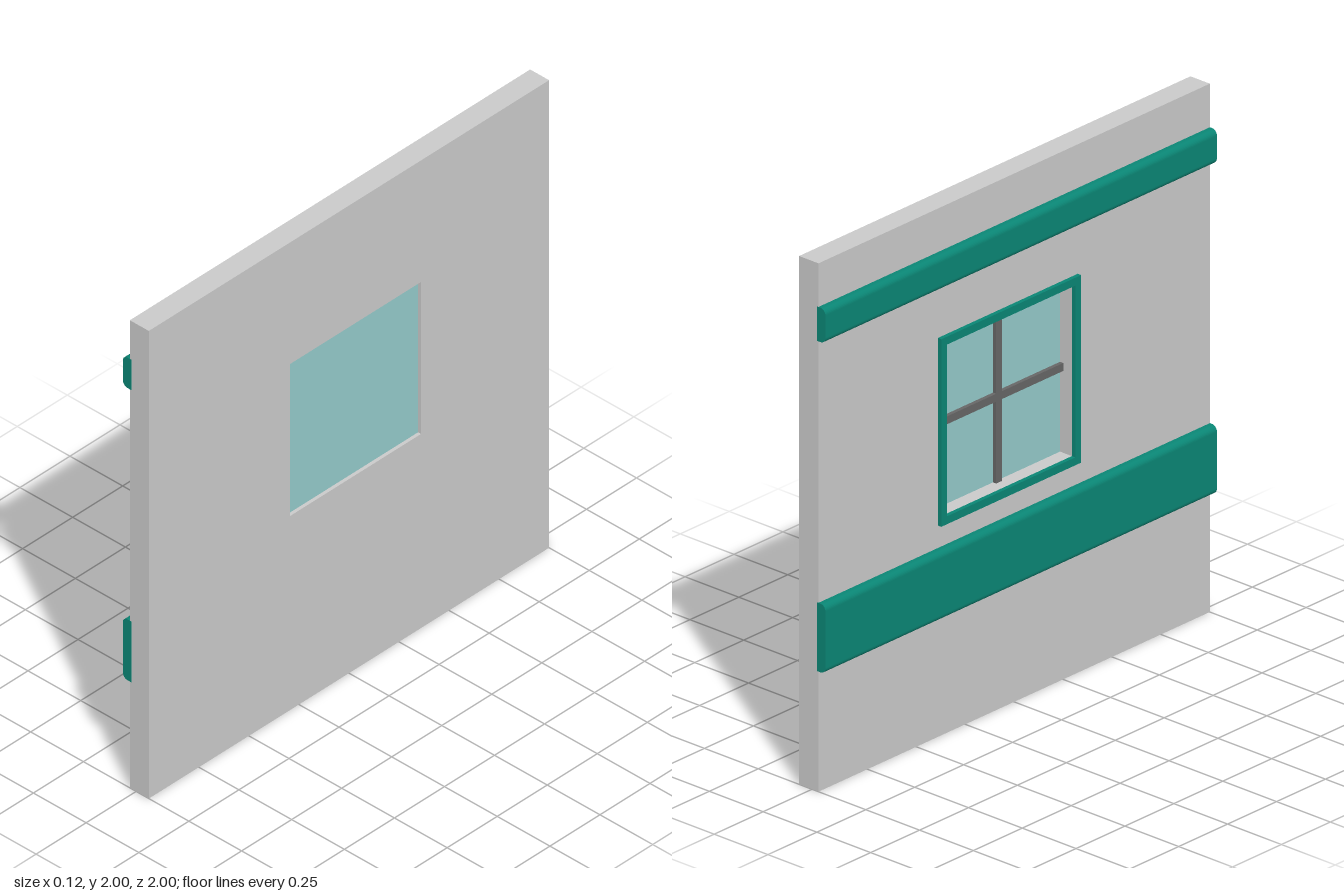
import * as THREE from 'three';

const mat = (name, color) => new THREE.MeshStandardMaterial({ name, color });

// Window opening in the wall
const Z0 = -0.36, Z1 = 0.295, Y0 = 0.83, Y1 = 1.48;
const ZC = (Z0 + Z1) / 2, YC = (Y0 + Y1) / 2;

function rect(path, z0, z1, y0, y1) {
  // shape x runs along -z, shape y is up
  path.moveTo(-z1, y0);
  path.lineTo(-z0, y0);
  path.lineTo(-z0, y1);
  path.lineTo(-z1, y1);
  path.closePath();
  return path;
}

// Plate with the window opening, spanning x0..x1
function openPlate(z0, z1, y0, y1, x0, x1) {
  const shape = rect(new THREE.Shape(), z0, z1, y0, y1);
  shape.holes.push(rect(new THREE.Path(), Z0, Z1, Y0, Y1));
  const geo = new THREE.ExtrudeGeometry(shape, { depth: x1 - x0, bevelEnabled: false });
  return geo.rotateY(Math.PI / 2).translate(x0, 0, 0);
}

// Long trim board with rounded outer edges, running along z
function trimBoard(y0, y1) {
  const xo = -0.0625, xi = -0.023, r = 0.022, half = 1.0004;
  const s = new THREE.Shape();
  s.moveTo(xi, y0);
  s.lineTo(xi, y1);
  s.lineTo(xo + r, y1);
  s.absarc(xo + r, y1 - r, r, Math.PI / 2, Math.PI, false);
  s.lineTo(xo, y0 + r);
  s.absarc(xo + r, y0 + r, r, Math.PI, Math.PI * 1.5, false);
  s.closePath();
  const geo = new THREE.ExtrudeGeometry(s, { depth: 2 * half, bevelEnabled: false, curveSegments: 4 });
  return geo.translate(0, 0, -half);
}

export function createModel() {
  const group = new THREE.Group();
  group.name = 'wallPanel';
  const grey = mat('wallGrey', 0xc9c9c9);
  const teal = mat('trimTeal', 0x0a8574);
  const glass = mat('glassBlue', 0x93c9c9);
  const dark = mat('barGrey', 0x666666);

  const add = (name, geo, material) => {
    const mesh = new THREE.Mesh(geo, material);
    mesh.name = name;
    group.add(mesh);
    return mesh;
  };
  const box = (name, x0, x1, h, w, material) =>
    add(name, new THREE.BoxGeometry(x1 - x0, h, w), material).position.set((x0 + x1) / 2, YC, ZC);

  // Wall and window surround
  add('wall', openPlate(-1, 1, 0, 2, -0.03, 0.06), grey);
  const f = 0.03;
  add('windowFrame', openPlate(Z0 - f, Z1 + f, Y0 - f, Y1 + f, -0.046, -0.03), teal);

  // Pane and crossing glazing bars
  box('windowPane', 0.025, 0.046, Y1 - Y0, Z1 - Z0, glass);
  box('verticalBar', 0.01, 0.03, Y1 - Y0, 0.03, dark);
  box('horizontalBar', 0.01, 0.03, 0.03, Z1 - Z0, dark);

  // Trim boards
  add('upperTrim', trimBoard(1.705, 1.835), teal);
  add('lowerTrim', trimBoard(0.455, 0.715), teal);
  return group;
}
